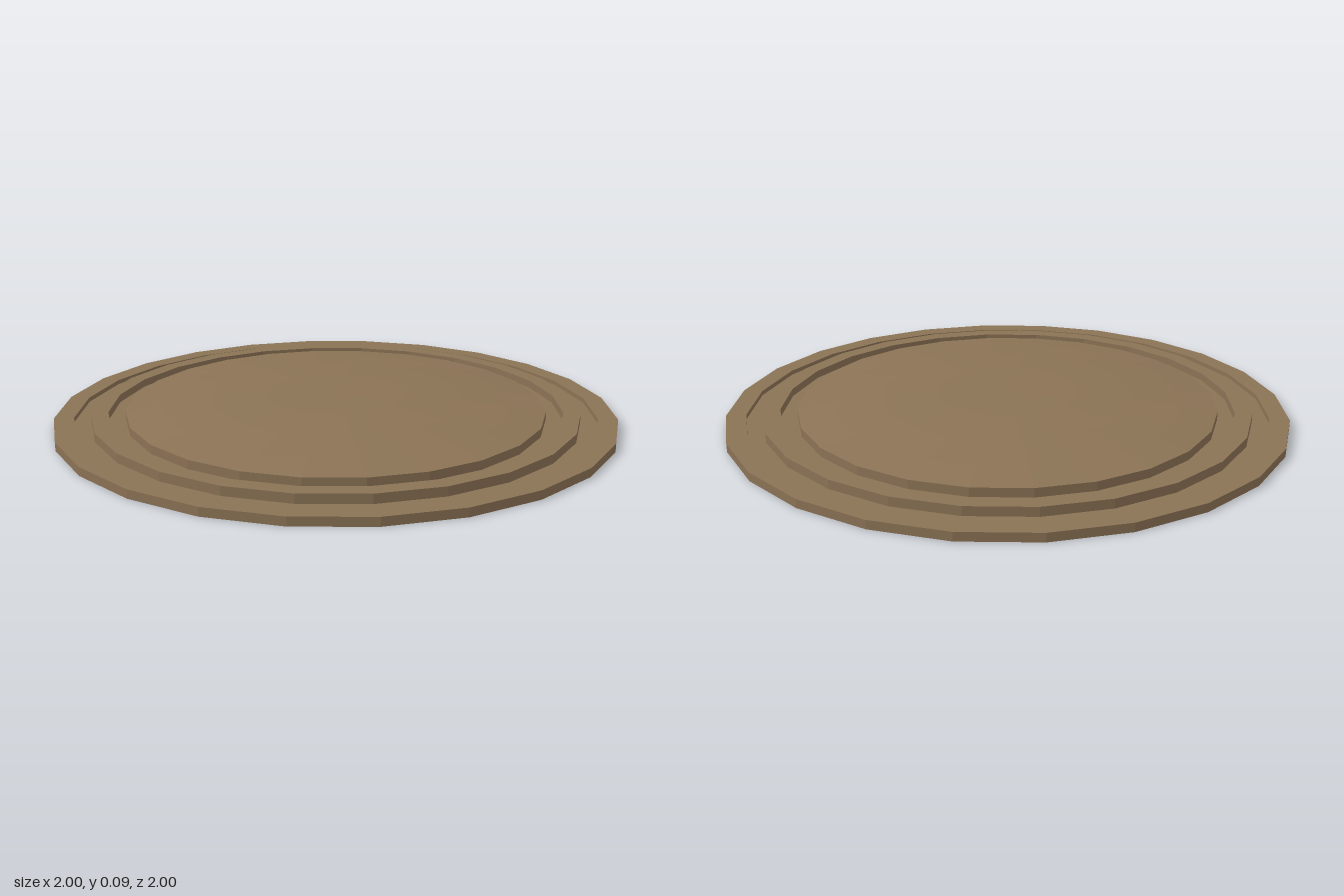
import * as THREE from 'three';

const SIDES = 24;

export function createModel() {
  const model = new THREE.Group();
  model.name = 'ribbedLid';

  const tan = new THREE.MeshStandardMaterial({
    color: 0x8b7355, flatShading: true, side: THREE.DoubleSide,
  });
  tan.name = 'tan';

  // Turn a profile, listed from the outside inward, into a 24-sided shell
  const addShell = (name, profile) => {
    const points = profile.map(([r, y]) => new THREE.Vector2(r, y));
    const mesh = new THREE.Mesh(new THREE.LatheGeometry(points, SIDES), tan);
    mesh.name = name;
    model.add(mesh);
  };

  // Rim with its outer and inner walls
  addShell('outerRim', [[1, 0], [1, 0.03], [0.93, 0.03], [0.93, 0.014]]);
  addShell('outerGroove', [[0.93, 0.014], [0.87, 0.014]]);
  // Raised ring between the two grooves
  addShell('raisedRing', [[0.87, 0.014], [0.87, 0.046], [0.81, 0.046], [0.81, 0.018]]);
  addShell('innerGroove', [[0.81, 0.018], [0.75, 0.018]]);
  // Shallow domed centre
  addShell('centreWall', [[0.75, 0.018], [0.75, 0.049]]);
  addShell('centreDome', [
    [0.75, 0.049], [0.62, 0.063], [0.45, 0.076], [0.25, 0.086], [0, 0.088],
  ]);

  return model;
}
